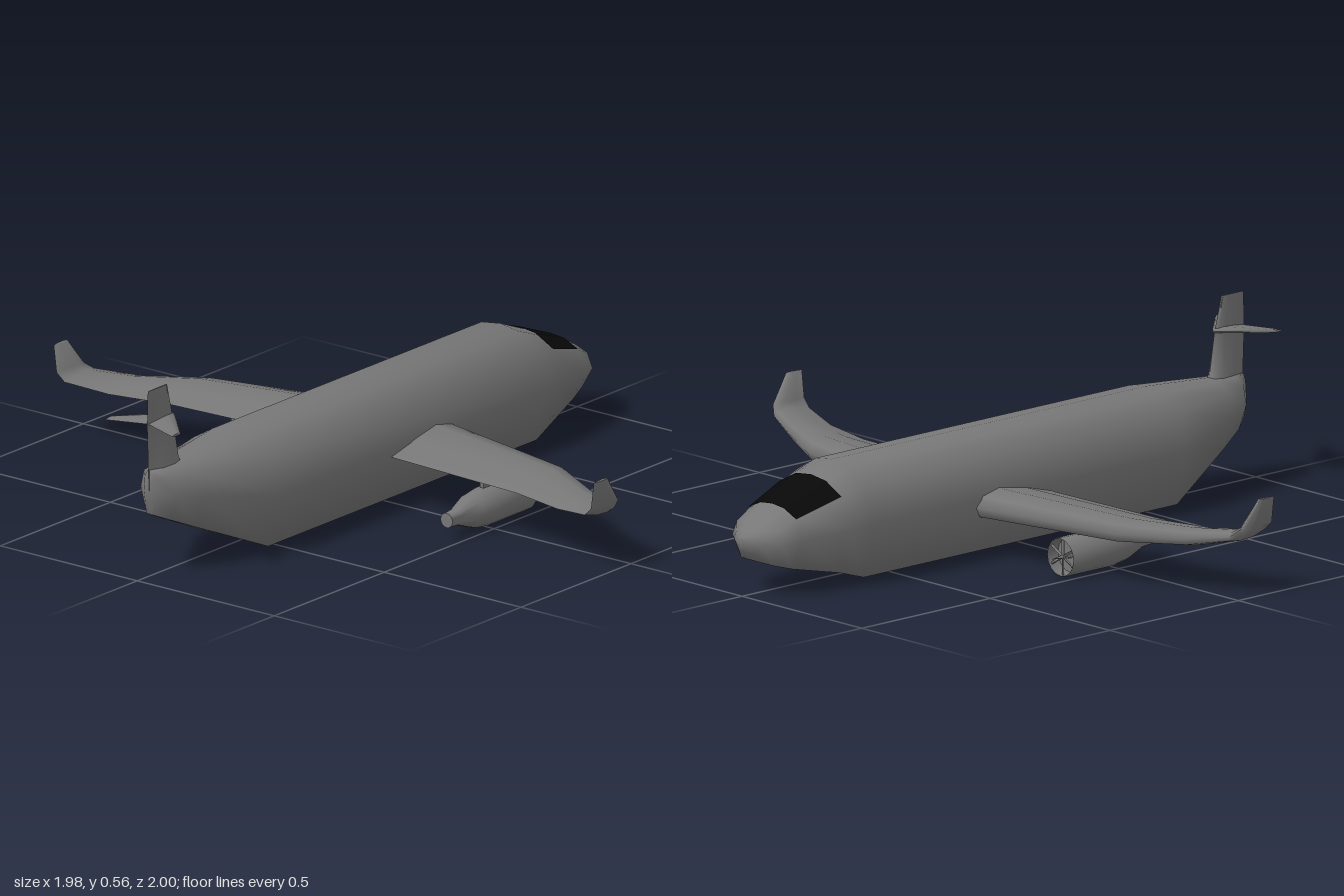
import * as THREE from 'three';
import { toCreasedNormals } from 'three/addons/utils/BufferGeometryUtils.js';

const paint = new THREE.MeshStandardMaterial({ color: 0x777777 });
const paintDouble = new THREE.MeshStandardMaterial({ color: 0x777777, side: THREE.DoubleSide });
const black = new THREE.MeshStandardMaterial({ color: 0x080808, side: THREE.DoubleSide });

// Capped smooth skin over closed rings of [x, y, z] points; always faces outward
function loft(rings) {
  const n = rings[0].length, pos = rings.flat(), tris = [];
  for (let r = 0; r < rings.length - 1; r++) {
    for (let i = 0; i < n; i++) {
      const a = r * n + i, b = r * n + (i + 1) % n;
      tris.push([a, b, b + n], [a, b + n, a + n]);
    }
  }
  [0, rings.length - 1].forEach((r) => {
    const c = pos.length;
    pos.push([0, 1, 2].map((k) => rings[r].reduce((s, p) => s + p[k], 0) / n));
    for (let i = 0; i < n; i++) {
      const a = r * n + i, b = r * n + (i + 1) % n;
      tris.push(r ? [a, b, c] : [b, a, c]);
    }
  });
  const v = pos.map((p) => new THREE.Vector3(...p));
  const volume = tris.reduce((s, [a, b, c]) => s + v[a].dot(v[b].clone().cross(v[c])), 0);
  if (volume < 0) tris.forEach((t) => t.reverse());
  const geo = new THREE.BufferGeometry();
  geo.setAttribute('position', new THREE.Float32BufferAttribute(pos.flat(), 3));
  geo.setIndex(tris.flat());
  return toCreasedNormals(geo, 1.5);
}

function mesh(name, geo, mat = paint) {
  const m = new THREE.Mesh(geo, mat);
  m.name = name;
  return m;
}

// Fuselage section: half outline from keel to crown, mirrored into a ring
function section([z, w, bottom, top, keel = 0.78]) {
  const outline = [[keel, 0], [1, 0.5], [0.82, 0.84], [0.4, 0.97], [0, 1]];
  const half = outline.map(([u, v]) => [u * w, bottom + v * (top - bottom), z]);
  return [...half, ...half.slice(0, -1).reverse().map(([x, y]) => [-x, y, z])];
}

// Aerofoil ring at (x, y), tilted about z, from leading to trailing edge
const FOIL = [[0, 0], [0.07, 0.35], [0.3, 0.5], [0.65, 0.32], [1, 0], [0.65, -0.4], [0.3, -0.5], [0.07, -0.35]];
function foil([x, y, tilt, lead, trail, thick], side = 1) {
  return FOIL.map(([u, t]) => [
    side * (x - Math.sin(tilt) * t * thick),
    y + Math.cos(tilt) * t * thick,
    lead + u * (trail - lead),
  ]);
}

function createEngine() {
  const g = new THREE.Group();
  // Hollow nacelle, turned about its own axis
  const profile = [[0.052, -0.14], [0.055, -0.185], [0.057, -0.18], [0.057, 0],
    [0.05, 0.05], [0.025, 0.12], [0.022, 0.16], [0, 0.16]].map(([r, z]) => new THREE.Vector2(r, z));
  const shell = new THREE.LatheGeometry(profile, 16);
  shell.rotateX(Math.PI / 2);
  g.add(mesh('nacelle', toCreasedNormals(shell, 0.9), paintDouble));
  // Fan and spinner inside the intake
  const back = new THREE.CircleGeometry(0.053, 16);
  back.translate(0, 0, 0.145);
  back.rotateY(Math.PI);
  g.add(mesh('intakeBack', back));
  for (let i = 0; i < 6; i++) {
    const blade = mesh('fanBlade', new THREE.BoxGeometry(0.007, 0.053, 0.004).translate(0, 0.0265, 0).rotateY(0.6));
    blade.rotation.z = (i * Math.PI) / 3;
    blade.position.z = -0.175;
    g.add(blade);
  }
  const spinner = mesh('spinner', new THREE.ConeGeometry(0.01, 0.08, 10).rotateX(-Math.PI / 2));
  spinner.position.z = -0.18;
  g.add(spinner);
  // Pylon up to the wing
  const pylon = mesh('pylon', new THREE.BoxGeometry(0.012, 0.04, 0.12));
  pylon.position.set(0, 0.065, -0.06);
  g.add(pylon);
  return g;
}

export function createModel() {
  const model = new THREE.Group();
  model.name = 'airliner';

  // Fuselage stations: z, half width, bottom, top, keel width
  const windowFront = [-0.88, 0.12, 0.075, 0.25, 0.7], windowRear = [-0.73, 0.155, 0.045, 0.31];
  const stations = [
    [-1, 0.018, 0.145, 0.175, 0.6], [-0.98, 0.055, 0.125, 0.192, 0.6], [-0.94, 0.105, 0.092, 0.217, 0.65],
    windowFront, windowRear,
    [-0.65, 0.17, 0.02, 0.343], [0.57, 0.17, 0.02, 0.343],
    [0.82, 0.098, 0.13, 0.325, 0.65], [0.9, 0.068, 0.166, 0.322, 0.55], [0.945, 0.02, 0.187, 0.32, 0.5],
  ];
  model.add(mesh('fuselage', loft(stations.map(section))));

  // Windscreen: upper arc of the two window stations, lifted off the skin
  const arc = (s) => section(s).slice(2, 7).map(([x, y, z]) => [x * 1.01, y + 0.003, z - 0.002]);
  const front = arc(windowFront), rear = arc(windowRear), glass = [];
  for (let i = 0; i < 4; i++) {
    glass.push(front[i], rear[i + 1], rear[i], front[i], front[i + 1], rear[i + 1]);
  }
  const screen = new THREE.BufferGeometry();
  screen.setAttribute('position', new THREE.Float32BufferAttribute(glass.flat(), 3));
  screen.computeVertexNormals();
  model.add(mesh('windscreen', screen, black));

  // Wings with upturned tips, and an engine under each
  const wing = [
    [0.05, 0.16, 0, -0.26, 0.05, 0.1], [0.17, 0.158, 0, -0.24, 0.05, 0.088],
    [0.64, 0.155, 0, -0.15, 0.07, 0.07], [0.82, 0.156, 0, -0.05, 0.11, 0.052],
    [0.95, 0.175, 0.4, 0.01, 0.148, 0.032], [0.976, 0.2, 1.3, 0.03, 0.152, 0.025],
    [0.986, 0.28, 1.57, 0.09, 0.152, 0.012],
  ];
  for (const [side, label] of [[1, 'left'], [-1, 'right']]) {
    model.add(mesh(label + 'Wing', loft(wing.map((s) => foil(s, side)))));
    const engine = createEngine();
    engine.name = label + 'Engine';
    engine.position.set(side * 0.455, 0.058, 0);
    model.add(engine);
  }

  // Upright fin
  const up = Math.PI / 2;
  const fin = [
    [0, 0.25, up, 0.76, 0.945, 0.08], [0, 0.33, up, 0.82, 0.95, 0.04],
    [0, 0.45, up, 0.838, 0.955, 0.014], [0, 0.557, up, 0.865, 0.952, 0.005],
  ];
  model.add(mesh('fin', loft(fin.map((s) => foil(s)))));

  // Swept tailplane across the fin
  const tail = [
    [-0.122, 0.458, 0, 0.955, 0.995, 0.008], [0, 0.458, 0, 0.83, 0.95, 0.018],
    [0.122, 0.458, 0, 0.955, 0.995, 0.008],
  ];
  model.add(mesh('tailplane', loft(tail.map((s) => foil(s)))));
  return model;
}
